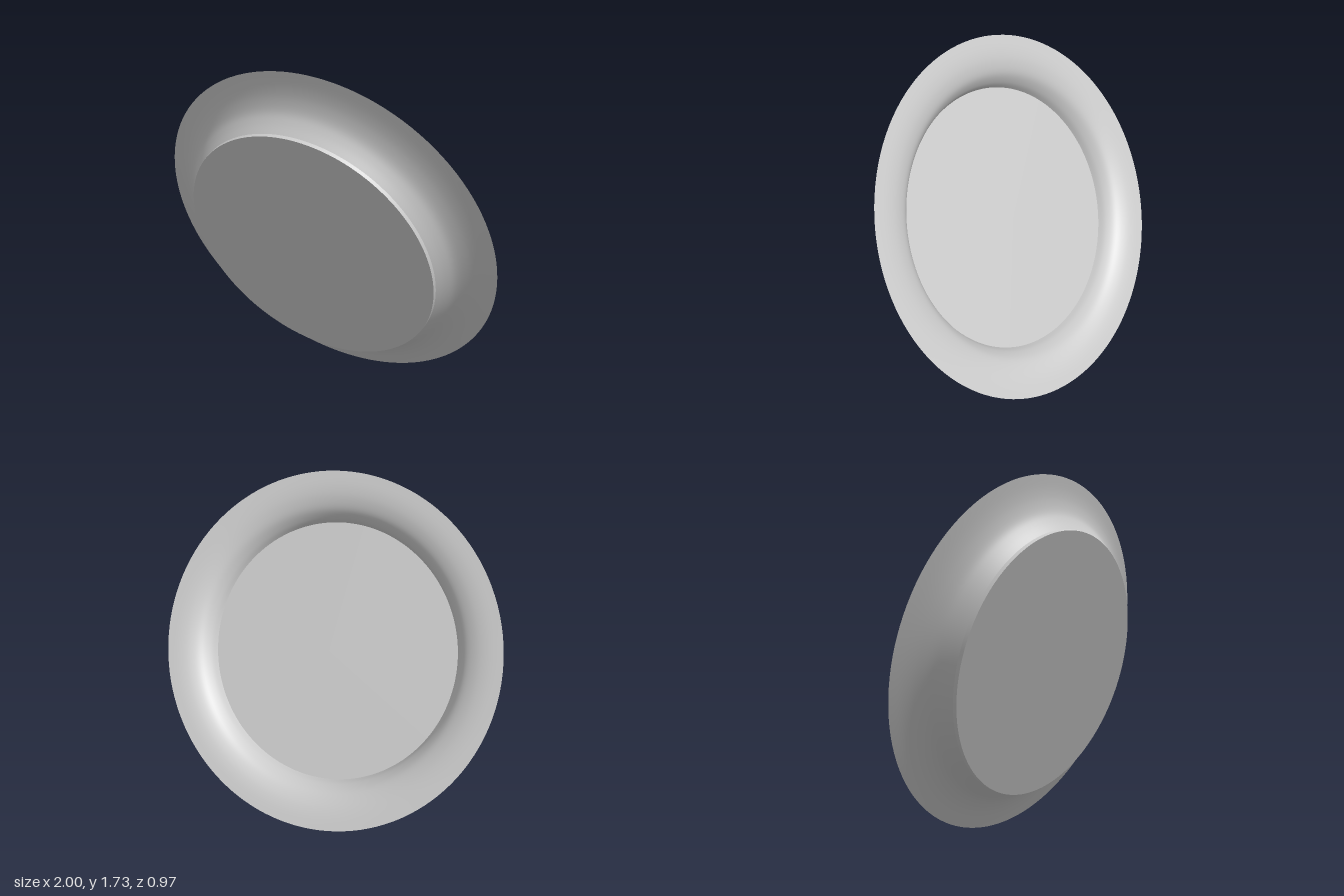
import * as THREE from 'three';

const SEGMENTS = 128;
const material = new THREE.MeshStandardMaterial({ color: 0xcccccc, side: THREE.DoubleSide });

const toPoints = (pairs) => pairs.map(([r, h]) => new THREE.Vector2(r, h));

// Surface of revolution about the dish axis, smooth within one part
function revolve(name, points) {
  const mesh = new THREE.Mesh(new THREE.LatheGeometry(points, SEGMENTS), material);
  mesh.name = name;
  return mesh;
}

const smooth = (pairs) => new THREE.SplineCurve(toPoints(pairs)).getPoints(24);

export function createModel() {
  const model = new THREE.Group();
  model.name = 'tiltedDish';

  const dish = new THREE.Group();
  dish.name = 'dish';

  // Flat underside and the short foot edge
  dish.add(revolve('underside', toPoints([[0, -0.17], [0.738, -0.17]])));
  dish.add(revolve('footEdge', toPoints([[0.738, -0.17], [0.741, -0.15]])));

  // Flared outer wall sweeping out to a thin rim
  dish.add(revolve('outerWall', smooth([
    [0.741, -0.15], [0.775, -0.104], [0.813, -0.065], [0.866, -0.036], [0.926, -0.016], [1, 0],
  ])));

  // Inner wall, meeting the outer wall at the rim
  dish.add(revolve('innerWall', smooth([
    [1, 0], [0.92, -0.006], [0.855, -0.021], [0.797, -0.051], [0.757, -0.1], [0.738, -0.145],
  ])));

  // Flat inside floor
  dish.add(revolve('floor', toPoints([[0.738, -0.145], [0, -0.145]])));

  // Slightly oval, leaning so that the underside faces forward and down
  dish.scale.z = 0.985;
  dish.rotation.x = -THREE.MathUtils.degToRad(61.3);
  dish.position.set(0, 0.865, -0.011);
  model.add(dish);
  return model;
}
